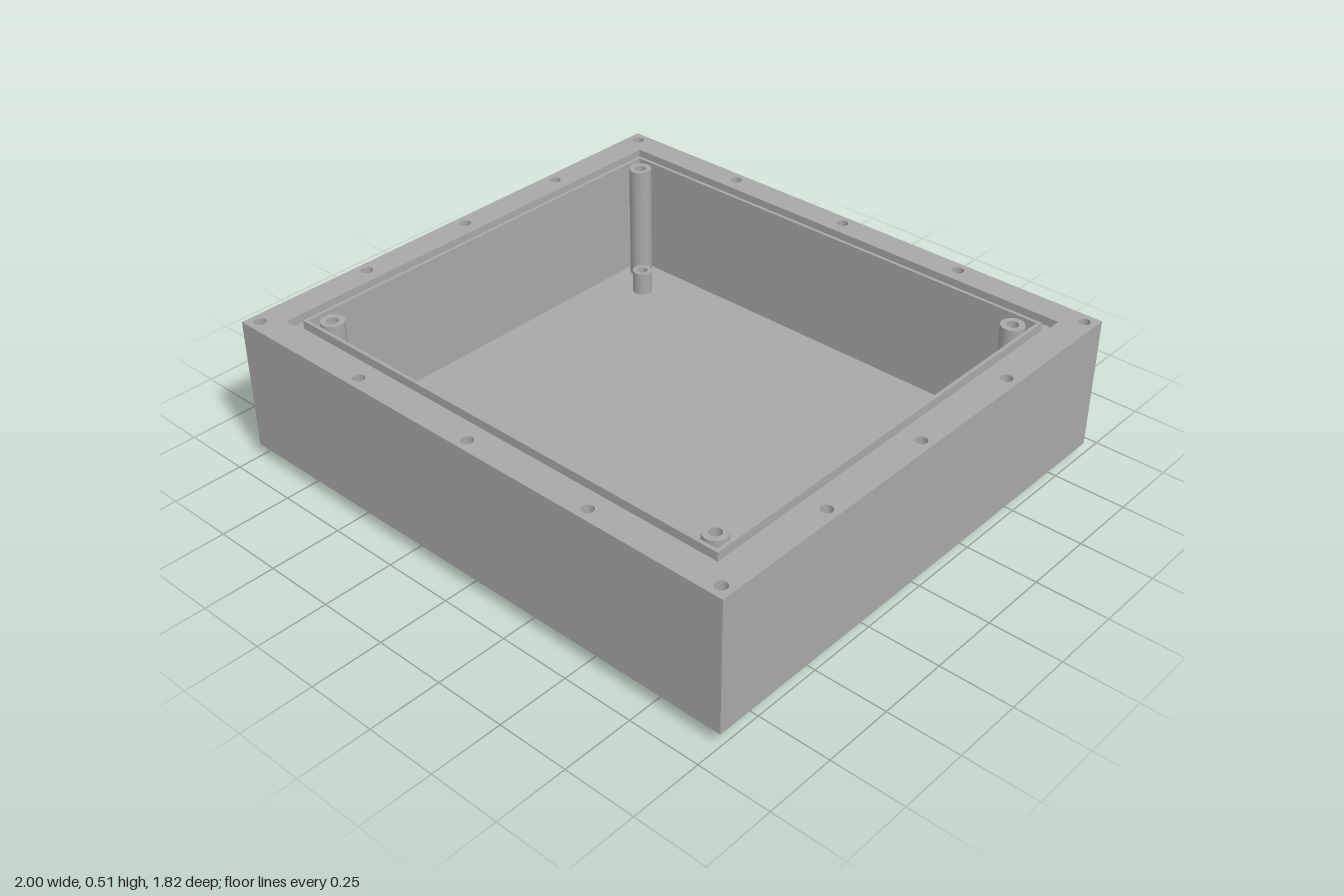
import * as THREE from 'three';

const grey = new THREE.MeshStandardMaterial({ color: 0xa8a8a8 });
grey.name = 'plain grey';

// Traces a rectangle of half sizes w and d, centred on z = cz (shape y is -z)
function rect(path, w, d, cz = 0) {
  path.moveTo(-w, -d - cz);
  path.lineTo(w, -d - cz);
  path.lineTo(w, d - cz);
  path.lineTo(-w, d - cz);
  path.closePath();
  return path;
}

function circle(x, z, r) {
  const path = new THREE.Path();
  path.absarc(x, -z, r, 0, Math.PI * 2, false);
  return path;
}

// Horizontal plate from y0 to y1 with openings cut through it
function plate(name, outline, holes, y0, y1) {
  outline.holes.push(...holes);
  const geo = new THREE.ExtrudeGeometry(outline, { depth: y1 - y0, bevelEnabled: false, curveSegments: 10 });
  geo.rotateX(-Math.PI / 2);
  geo.translate(0, y0, 0);
  const mesh = new THREE.Mesh(geo, grey);
  mesh.name = name;
  return mesh;
}

// Round post with a blind screw hole in its top
function post(name, x, z, r, hole, y0, y1, depth) {
  const profile = [[r, y0], [r, y1], [hole, y1], [hole, y1 - depth], [0, y1 - depth]];
  const group = new THREE.Group();
  group.name = name;
  for (let i = 0; i < profile.length - 1; i++) {
    // Separate bands keep the edges sharp
    const pair = [profile[i], profile[i + 1]].map(p => new THREE.Vector2(p[0], p[1]));
    const band = new THREE.Mesh(new THREE.LatheGeometry(pair, 24), grey);
    band.name = 'postSurface';
    group.add(band);
  }
  group.position.set(x, 0, z);
  return group;
}

export function createModel() {
  const model = new THREE.Group();
  model.name = 'enclosure';
  const W = 1, D = 0.91, base = 0.045, floor = 0.085, top = 0.515;
  const outer = () => rect(new THREE.Shape(), W, D);
  const cavity = () => rect(new THREE.Path(), 0.853, 0.763);

  // Screw holes around the rim
  const spots = [];
  for (const x of [-0.96, -0.48, 0, 0.48, 0.96]) spots.push([x, -0.87], [x, 0.87]);
  for (const z of [-0.435, 0, 0.435]) spots.push([-0.96, z], [0.96, z]);
  const screws = () => spots.map(([x, z]) => circle(x, z, 0.02));

  // Tray floor, walls and drilled rim
  model.add(plate('floor', outer(), [], base, floor));
  model.add(plate('walls', outer(), [cavity()], floor, 0.4));
  model.add(plate('drilledWalls', outer(), [cavity(), ...screws()], 0.4, 0.485));

  // Seal groove lies between the rim and the inner lip
  model.add(plate('rim', outer(), [rect(new THREE.Path(), 0.9, 0.814), ...screws()], 0.485, top));
  model.add(plate('innerLip', rect(new THREE.Shape(), 0.865, 0.775), [cavity()], 0.485, top));

  // Tall corner posts and short standoffs
  for (const sx of [-1, 1]) {
    for (const sz of [-1, 1]) {
      model.add(post('cornerPost', sx * 0.8, sz * 0.71, 0.04, 0.02, floor, 0.512, 0.1));
      const z = sz < 0 ? -0.61 : sx > 0 ? 0.628 : 0.608;
      model.add(post('standoff', sx * 0.7, z, 0.035, 0.019, floor, 0.17, 0.07));
    }
  }

  // Recessed pad under the floor
  const cz = -0.068;
  const pad = () => rect(new THREE.Shape(), 0.484, 0.477, cz);
  model.add(plate('footPad', pad(), [], 0.025, base));
  model.add(plate('footRim', pad(), [rect(new THREE.Path(), 0.424, 0.417, cz)], 0, 0.025));
  return model;
}
